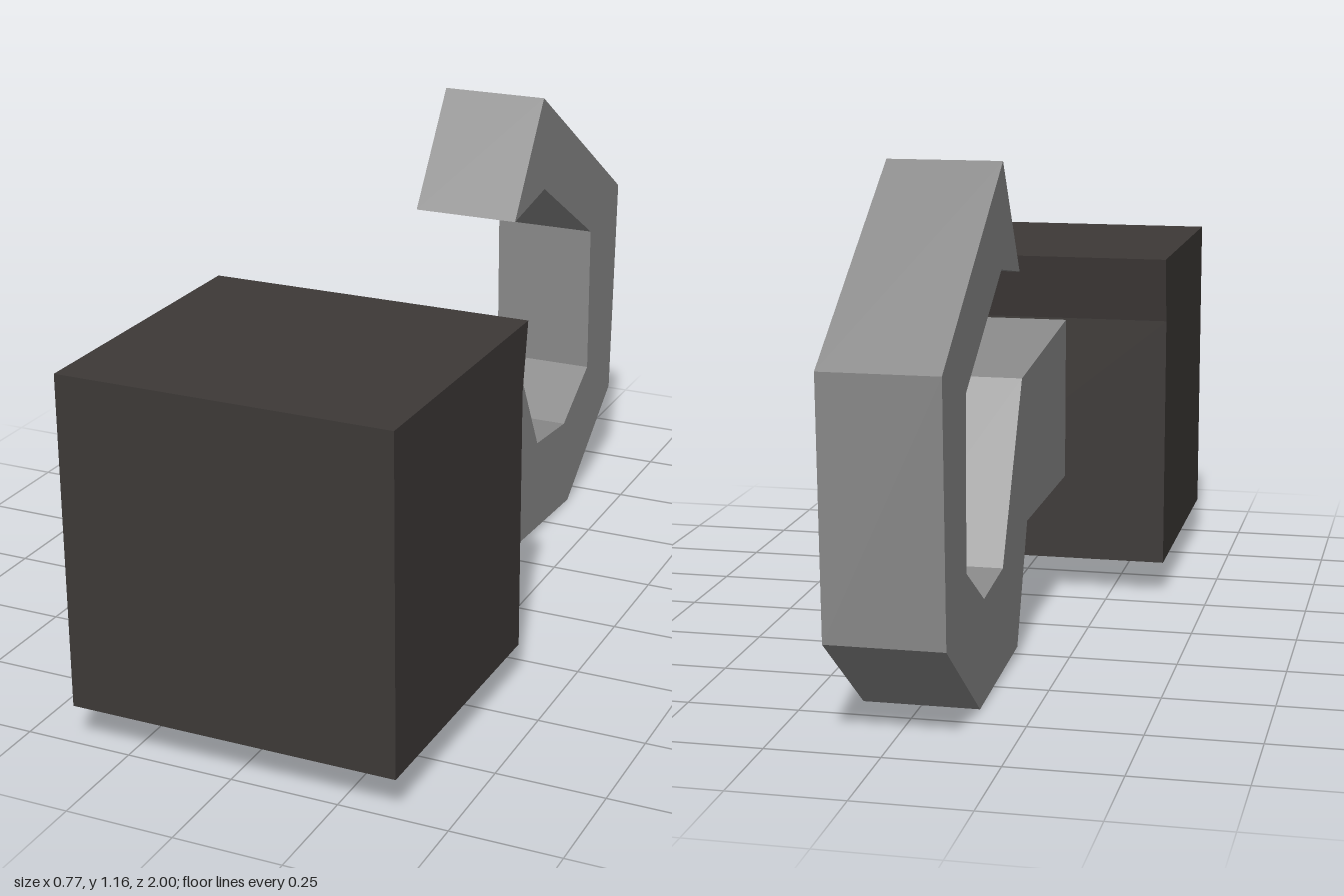
import * as THREE from 'three';

// Extrudes a side profile of [z, y] points along x, centred on x = 0.
function sidePart(name, points, width, color) {
  const shape = new THREE.Shape(points.map(([z, y]) => new THREE.Vector2(z, y)));
  const geometry = new THREE.ExtrudeGeometry(shape, { depth: width, bevelEnabled: false });
  geometry.translate(0, 0, -width / 2);
  geometry.rotateY(-Math.PI / 2);
  const material = new THREE.MeshStandardMaterial({ color, flatShading: true });
  const mesh = new THREE.Mesh(geometry, material);
  mesh.name = name;
  return mesh;
}

export function createModel() {
  const model = new THREE.Group();
  model.name = 'hookOnBlock';

  // Dark block with a slanted lip at the top of its back face
  model.add(sidePart('block', [
    [1, 0.09], [1, 0.857], [0.3, 0.857], [0.327, 0.7], [0.327, 0.082],
  ], 0.766, 0x3d3937));

  // Shank and curled hook, ending in a pointed tip
  model.add(sidePart('hook', [
    [0.327, 0.695], [-0.22, 0.645], [-0.427, 0.252], [-0.62, 0.235],
    [-0.79, 0.337], [-0.79, 0.718], [-0.445, 0.926], [-0.25, 0.895],
    [-0.43, 1.16], [-1, 0.79], [-0.97, 0.22], [-0.66, 0],
    [-0.265, 0.022], [-0.155, 0.295], [0.327, 0.295],
  ], 0.26, 0x8a8a8a));

  return model;
}
